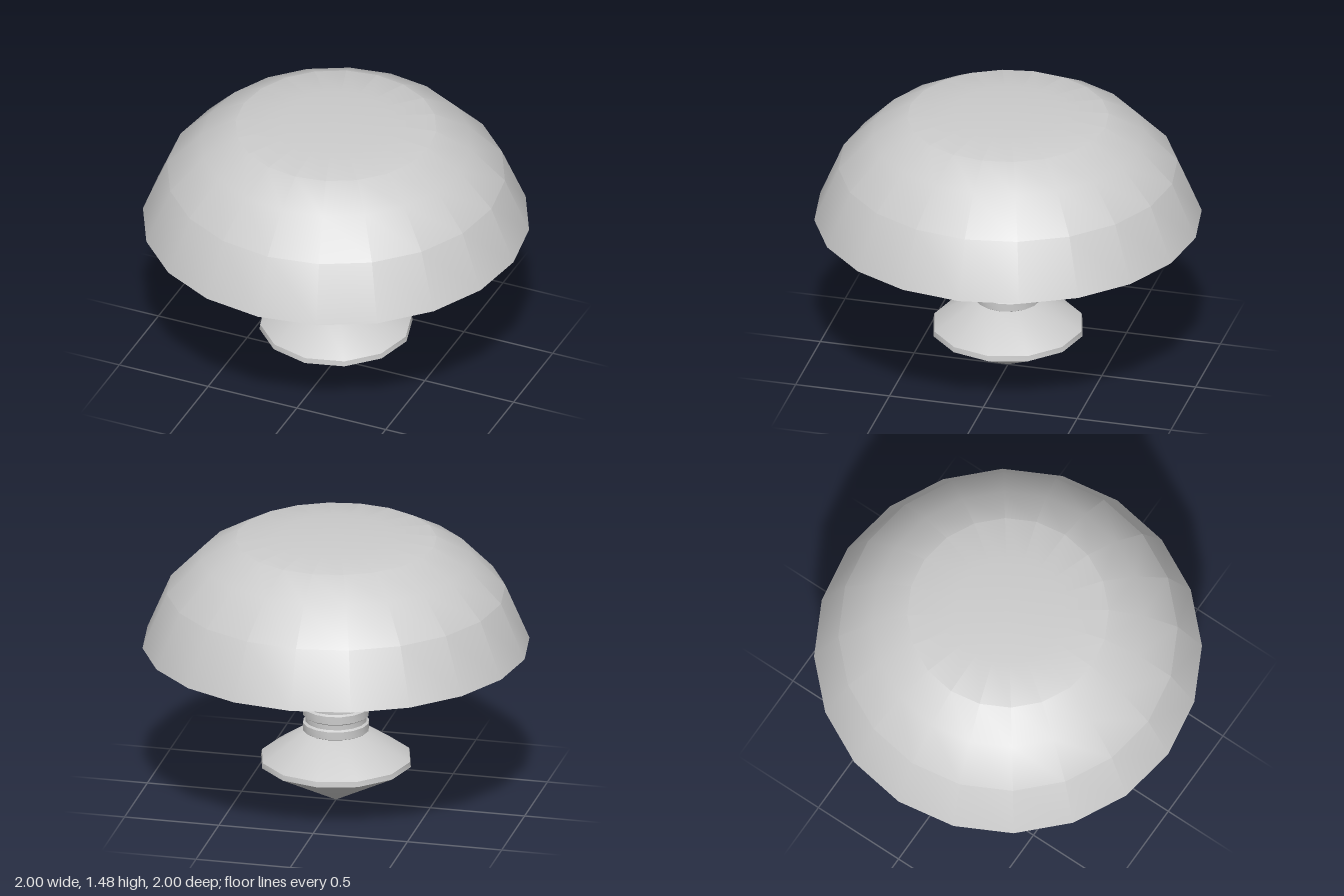
import * as THREE from 'three';
import { toCreasedNormals } from 'three/addons/utils/BufferGeometryUtils.js';

const material = new THREE.MeshStandardMaterial({ color: 0xcccccc });

// Spins a profile of [radius, height] pairs, listed from the bottom outwards and up
function turned(name, profile, sides, crease) {
  const points = profile.map(([r, y]) => new THREE.Vector2(r, y));
  const geometry = toCreasedNormals(new THREE.LatheGeometry(points, sides), crease);
  const mesh = new THREE.Mesh(geometry, material);
  mesh.name = name;
  return mesh;
}

export function createModel() {
  const model = new THREE.Group();
  model.name = 'mushroomFastener';

  // Domed cap: central socket, recessed underside, rim, faceted dome
  model.add(turned('cap', [
    [0, 1.3], [0.255, 1.3], [0.255, 0.935],
    [0.83, 0.935], [0.84, 0.865], [1, 0.865],
    [0.875, 1.16], [0.7, 1.34], [0.52, 1.44],
    [0.28, 1.465], [0, 1.475],
  ], 20, 0.41));

  // Ribbed shaft: bands separated by shallow grooves, running up into the socket
  const shaft = [];
  const pitch = 0.0845;
  for (let i = 0; i < 11; i++) {
    const y = 0.385 + i * pitch;
    shaft.push([0.16, y], [0.172, y + 0.008], [0.172, y + 0.05], [0.16, y + 0.058]);
  }
  shaft.push([0.16, 1.3]);
  model.add(turned('ribbedShaft', shaft, 16, 0.6));

  // Pointed foot: cone tip, narrow edge band, sloping shoulder
  model.add(turned('pointedFoot', [
    [0, 0], [0.397, 0.215], [0.393, 0.243], [0.17, 0.39], [0, 0.39],
  ], 12, 0.6));

  return model;
}
